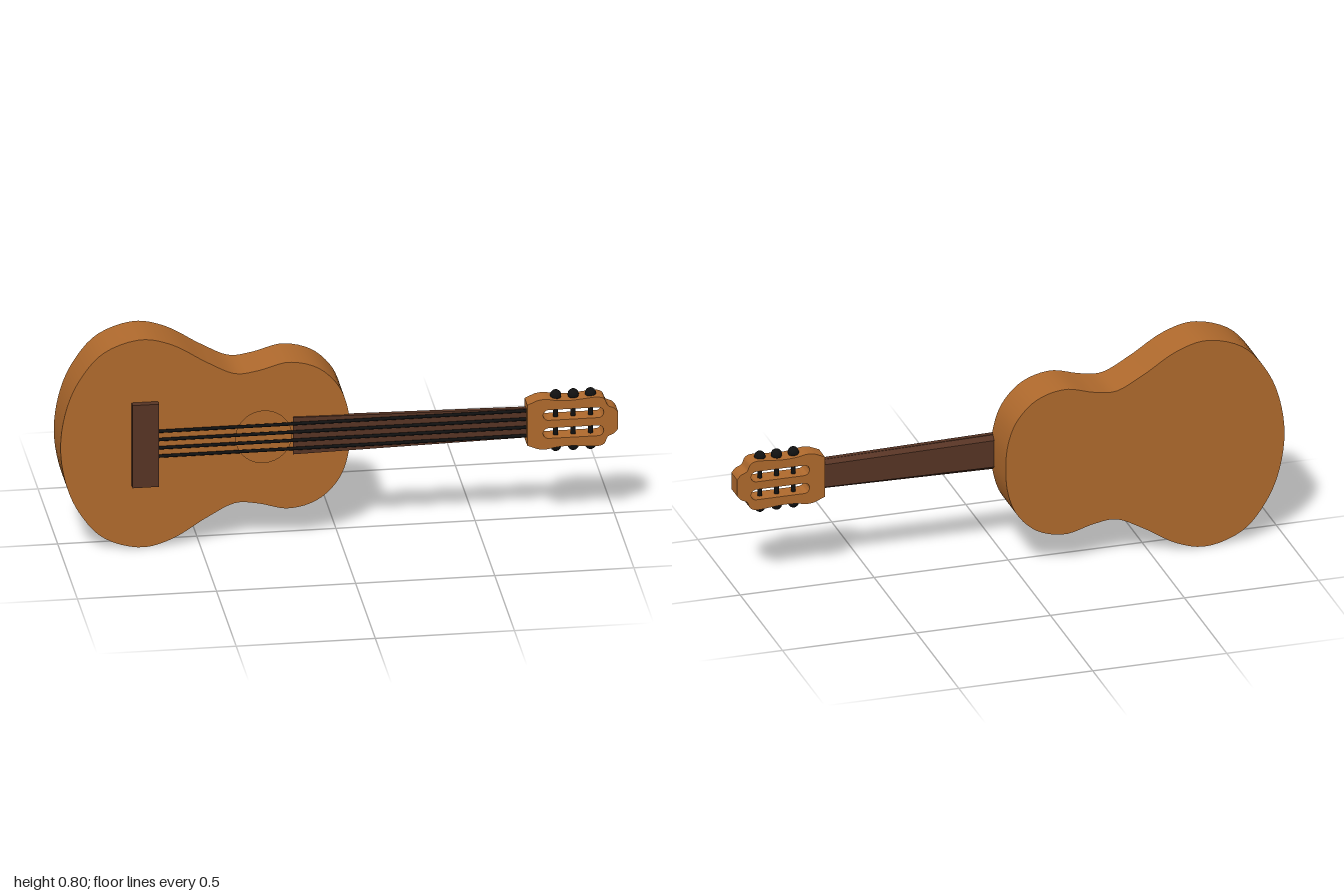
import * as THREE from 'three';
import { toCreasedNormals } from 'three/addons/utils/BufferGeometryUtils.js';

const MID = 0.403; // height of the long axis
const wood = new THREE.MeshStandardMaterial({ color: 0xb06a2d });
const darkWood = new THREE.MeshStandardMaterial({ color: 0x573424 });
const black = new THREE.MeshStandardMaterial({ color: 0x101010 });

function add(parent, name, geometry, material, x = 0, y = 0, z = 0) {
  const mesh = new THREE.Mesh(geometry, material);
  mesh.name = name;
  mesh.position.set(x, y, z);
  parent.add(mesh);
  return mesh;
}

// Closed smooth outline from its upper half, mirrored about the long axis
function mirroredOutline(half, samples) {
  const lower = half.filter(p => p[1] > 0).reverse().map(([x, y]) => [x, -y]);
  const pts = [...half, ...lower].map(([x, y]) => new THREE.Vector3(x, y, 0));
  const curve = new THREE.CatmullRomCurve3(pts, true, 'centripetal');
  return curve.getPoints(samples).slice(0, -1).map(p => new THREE.Vector2(p.x, p.y));
}

function slab(shape, depth) {
  const g = new THREE.ExtrudeGeometry(shape, { depth, bevelEnabled: false, curveSegments: 24 });
  return toCreasedNormals(g, 0.6);
}

export function createModel() {
  const model = new THREE.Group();
  model.name = 'guitar';

  // Body with a soundboard that carries the shallow sound hole
  const bodyOutline = mirroredOutline([
    [-1, 0], [-0.978, 0.15], [-0.93, 0.26], [-0.845, 0.358], [-0.71, 0.402],
    [-0.6, 0.376], [-0.47, 0.298], [-0.37, 0.25], [-0.29, 0.257], [-0.18, 0.283],
    [-0.075, 0.255], [0, 0.18], [0.033, 0.09], [0.04, 0],
  ], 120);
  add(model, 'body', slab(new THREE.Shape(bodyOutline), 0.162), wood, 0, MID, -0.1);
  const board = new THREE.Shape(bodyOutline);
  board.holes.push(new THREE.Path().absarc(-0.27, 0, 0.1, 0, Math.PI * 2, true));
  add(model, 'soundboard', slab(board, 0.01), wood, 0, MID, 0.062);

  // Bridge
  add(model, 'bridge', new THREE.BoxGeometry(0.095, 0.32, 0.027), darkWood, -0.697, MID, 0.0845);

  // Tapered fingerboard
  const taper = new THREE.Shape([
    new THREE.Vector2(-0.165, -0.071), new THREE.Vector2(0.68, -0.056),
    new THREE.Vector2(0.68, 0.056), new THREE.Vector2(-0.165, 0.071),
  ]);
  add(model, 'fingerboard', slab(taper, 0.018), darkWood, 0, MID, 0.062);

  // Neck with chamfered back edges, narrowing toward the head
  const section = new THREE.Shape([
    new THREE.Vector2(-0.022, -0.062), new THREE.Vector2(0, -0.048),
    new THREE.Vector2(0, 0.048), new THREE.Vector2(-0.022, 0.062),
  ]);
  const neck = new THREE.ExtrudeGeometry(section, { depth: 0.66, bevelEnabled: false });
  neck.rotateY(Math.PI / 2); // length along x, section depth toward -z
  const p = neck.attributes.position;
  for (let i = 0; i < p.count; i++) p.setY(i, p.getY(i) * (1.08 - 0.26 * p.getX(i)));
  neck.computeVertexNormals();
  add(model, 'neck', neck, darkWood, 0.02, MID, 0.042);

  // Strings
  for (const y of [-0.048, -0.016, 0.016, 0.048]) {
    const string = new THREE.CylinderGeometry(0.006, 0.006, 1.34, 10);
    string.rotateZ(Math.PI / 2);
    add(model, 'string', string, black, 0.01, MID + y, 0.082);
  }

  // Slotted headstock
  const upper = [
    [0.673, 0.078], [0.71, 0.094], [0.74, 0.097], [0.78, 0.09], [0.83, 0.088],
    [0.88, 0.092], [0.925, 0.095], [0.95, 0.086], [0.963, 0.06], [0.985, 0.049],
    [1, 0.032],
  ];
  const edge = new THREE.SplineCurve(upper.slice(1).map(q => new THREE.Vector2(...q))).getPoints(40);
  const top = [new THREE.Vector2(...upper[0]), ...edge];
  const bottom = top.slice().reverse().map(v => new THREE.Vector2(v.x, -v.y));
  const head = new THREE.Shape([...top, ...bottom]);
  for (const y of [-0.035, 0.035]) {
    const slot = new THREE.Path();
    slot.absarc(0.75, y, 0.02, Math.PI / 2, Math.PI * 1.5, false);
    slot.absarc(0.928, y, 0.02, -Math.PI / 2, Math.PI / 2, false);
    slot.closePath();
    head.holes.push(slot);
  }
  add(model, 'headstock', slab(head, 0.068), wood, 0, MID, 0.035);

  // Tuning posts across the slots, with round knobs on both edges
  for (const x of [0.78, 0.843, 0.905]) {
    add(model, 'tuningPost', new THREE.CylinderGeometry(0.009, 0.009, 0.19, 12), black, x, MID, 0.069);
    for (const side of [-1, 1]) {
      add(model, 'tuningKnob', new THREE.SphereGeometry(0.02, 20, 14), black, x, MID + side * 0.098, 0.069);
    }
  }
  return model;
}
